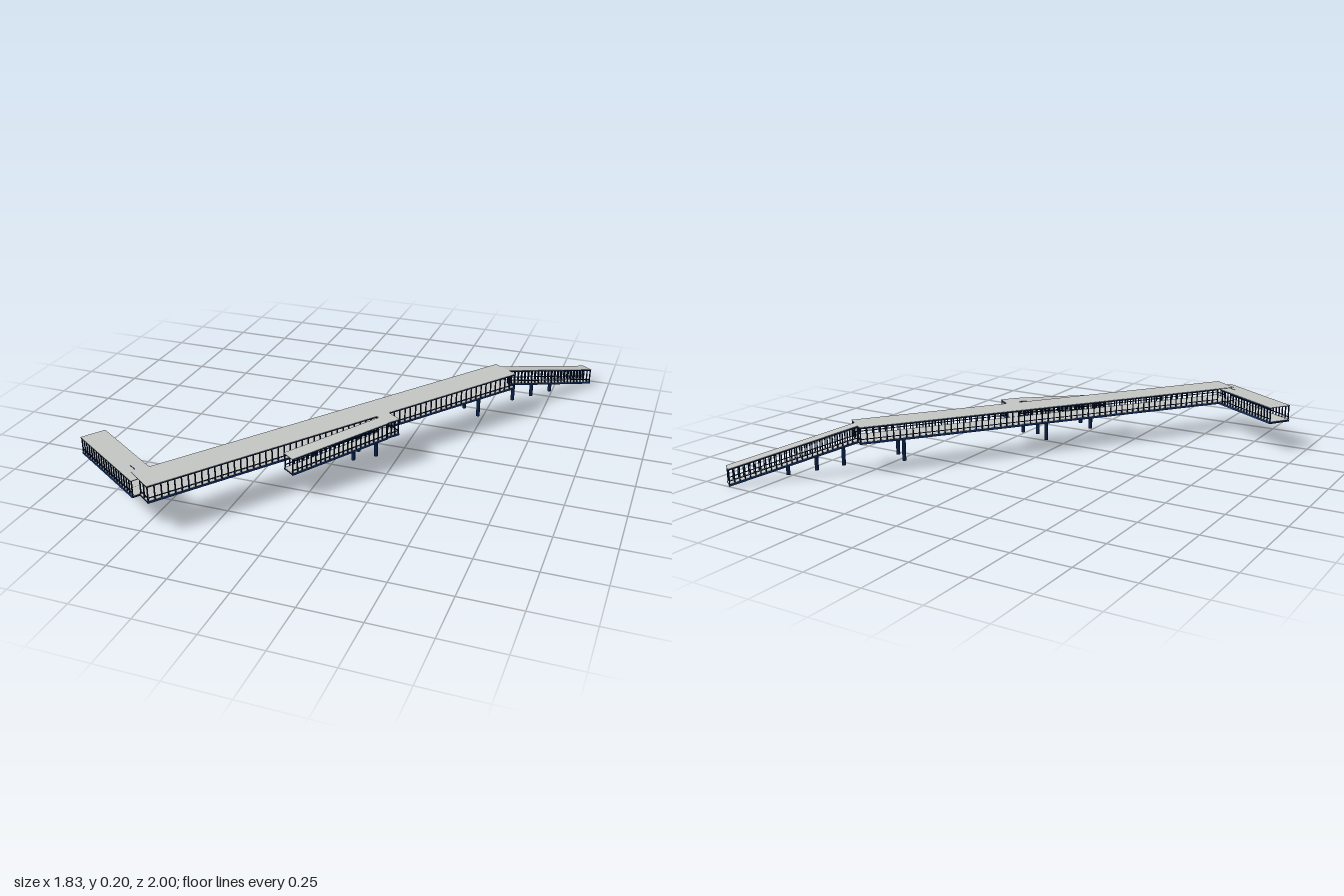
import * as THREE from 'three';
import { mergeGeometries } from 'three/addons/utils/BufferGeometryUtils.js';

const material = (name, color) => {
  const m = new THREE.MeshStandardMaterial({ color });
  m.name = name;
  return m;
};

export function createModel() {
  const paleGrey = material('pale grey', 0xc4c6c4);
  const darkNavy = material('dark navy', 0x081a3a);
  const navy = material('navy steel', 0x05214c);
  const blue = material('blue steel', 0x14387c);
  const model = new THREE.Group();
  model.name = 'coveredFootbridge';

  const box = (w, h, d, x, y, z) => new THREE.BoxGeometry(w, h, d).translate(x, y, z);

  // One covered walkway from a to b ([x, z]); yA and yB are the deck heights.
  // Railings are [x0, z0, x1, z1] lines in the walkway's own axes.
  function walkway(name, a, b, width, yA, yB, spacing, railings) {
    const dx = b[0] - a[0], dz = b[1] - a[1], length = Math.hypot(dx, dz);
    const slope = (yB - yA) / length;
    const group = new THREE.Group();
    group.name = name;
    group.position.set((a[0] + b[0]) / 2, (yA + yB) / 2, (a[1] + b[1]) / 2);
    group.rotation.y = Math.atan2(-dz, dx);

    // Shear the parts so that posts stay upright on a sloping deck
    const add = (part, parts, mat) => {
      const geo = mergeGeometries(parts);
      const p = geo.attributes.position;
      for (let i = 0; i < p.count; i++) p.setY(i, p.getY(i) + slope * p.getX(i));
      geo.computeVertexNormals();
      const mesh = new THREE.Mesh(geo, mat);
      mesh.name = part;
      group.add(mesh);
    };

    add('roof', [box(length, 0.0015, width, 0, 0.0713, 0)], paleGrey);
    add('ceiling', [box(length, 0.0015, width, 0, 0.0697, 0)], navy);
    add('walkingSurface', [box(length, 0.001, width - 0.006, 0, 0.005, 0)], paleGrey);
    add('deck', [box(length - 0.004, 0.009, width - 0.004, 0, 0, 0)], navy);
    add('edgeBeams', [-1, 1].map((s) => box(length, 0.008, 0.003, 0, 0.0005, s * (width / 2 - 0.0015))), blue);

    const posts = [], rails = [];
    for (const [x0, z0, x1, z1] of railings(length / 2 - 0.004, width / 2 - 0.004)) {
      const lx = Math.abs(x1 - x0), lz = Math.abs(z1 - z0);
      const cx = (x0 + x1) / 2, cz = (z0 + z1) / 2;
      const n = Math.max(1, Math.round((lx + lz) / spacing));
      for (let i = 0; i <= n; i++) {
        const t = i / n;
        posts.push(box(0.0045, 0.066, 0.0045, x0 + (x1 - x0) * t, 0.036, z0 + (z1 - z0) * t));
      }
      for (const [y, h] of [[0.018, 0.003], [0.0665, 0.005]]) {
        rails.push(box(lx + 0.004, h, lz + 0.004, cx, y, cz));
      }
    }
    add('railingPosts', posts, darkNavy);
    add('railingBars', rails, darkNavy);
    model.add(group);
    return group;
  }

  const bothSides = (x, z) => [[-x, z, x, z], [-x, -z, x, -z]];

  // Long main span, open where the side arm and the landing join
  walkway('mainSpan', [-0.513, 0.957], [0.57, -0.5435], 0.138, 0.132, 0.132, 0.029, (x, z) => [
    [-x, z, 0.14, z], [0.205, z, x, z], [-0.84, -z, x, -z],
    [-x, 0, -x, z], [x, -z, x, -0.03], [x, 0.03, x, z],
  ]);

  // Side arm with a beam beneath it and blue strips along its middle
  const arm = walkway('sideArm', [-0.885, 0.682], [-0.505, 0.932], 0.11, 0.13, 0.13, 0.022, (x, z) => [
    [-x, z, x, z], [-x, -z, 0.15, -z],
  ]);
  const armParts = [
    ['armBeam', box(0.42, 0.006, 0.05, 0, -0.007, 0), navy],
    ['armBeamStrip', box(0.4, 0.003, 0.008, 0, -0.0105, 0), blue],
    ['armRoofStrip', box(0.035, 0.002, 0.004, 0.134, 0.072, 0), blue],
  ];
  for (const [name, geo, mat] of armParts) {
    const mesh = new THREE.Mesh(geo, mat);
    mesh.name = name;
    arm.add(mesh);
  }

  // Narrow ramp down to the ground
  walkway('endRamp', [0.562, -0.546], [0.89, -0.985], 0.058, 0.132, 0.0045, 0.022, bothSides);

  // Landing and gentle ramp running back beside the main span
  walkway('landing', [0.195, 0.157], [0.233, 0.105], 0.08, 0.132, 0.132, 0.022, (x, z) => [
    [-x, z, x, z], [x, -z, x, z],
  ]);
  walkway('sideRamp', [-0.0725, 0.545], [0.2035, 0.163], 0.068, 0.104, 0.132, 0.022, bothSides);

  // Support columns: x, z, bottom, top
  const columns = [
    [-0.115, 0.30, 0.08, 0.13], [-0.03, 0.36, 0.08, 0.13],
    [0.015, 0.12, 0.05, 0.13], [0.10, 0.185, 0.05, 0.13],
    [0.41, -0.42, 0.033, 0.13], [0.49, -0.36, 0.033, 0.13],
    [0.113, 0.285, 0.062, 0.122], [0.182, 0.19, 0.045, 0.128],
    [0.60, -0.595, 0.028, 0.118], [0.67, -0.688, 0.02, 0.09], [0.742, -0.785, 0.014, 0.062],
  ];
  for (const [x, z, y0, y1] of columns) {
    const column = new THREE.Mesh(new THREE.CylinderGeometry(0.0085, 0.0085, y1 - y0, 12), navy);
    column.position.set(x, (y0 + y1) / 2, z);
    column.name = 'column';
    model.add(column);
  }
  return model;
}
